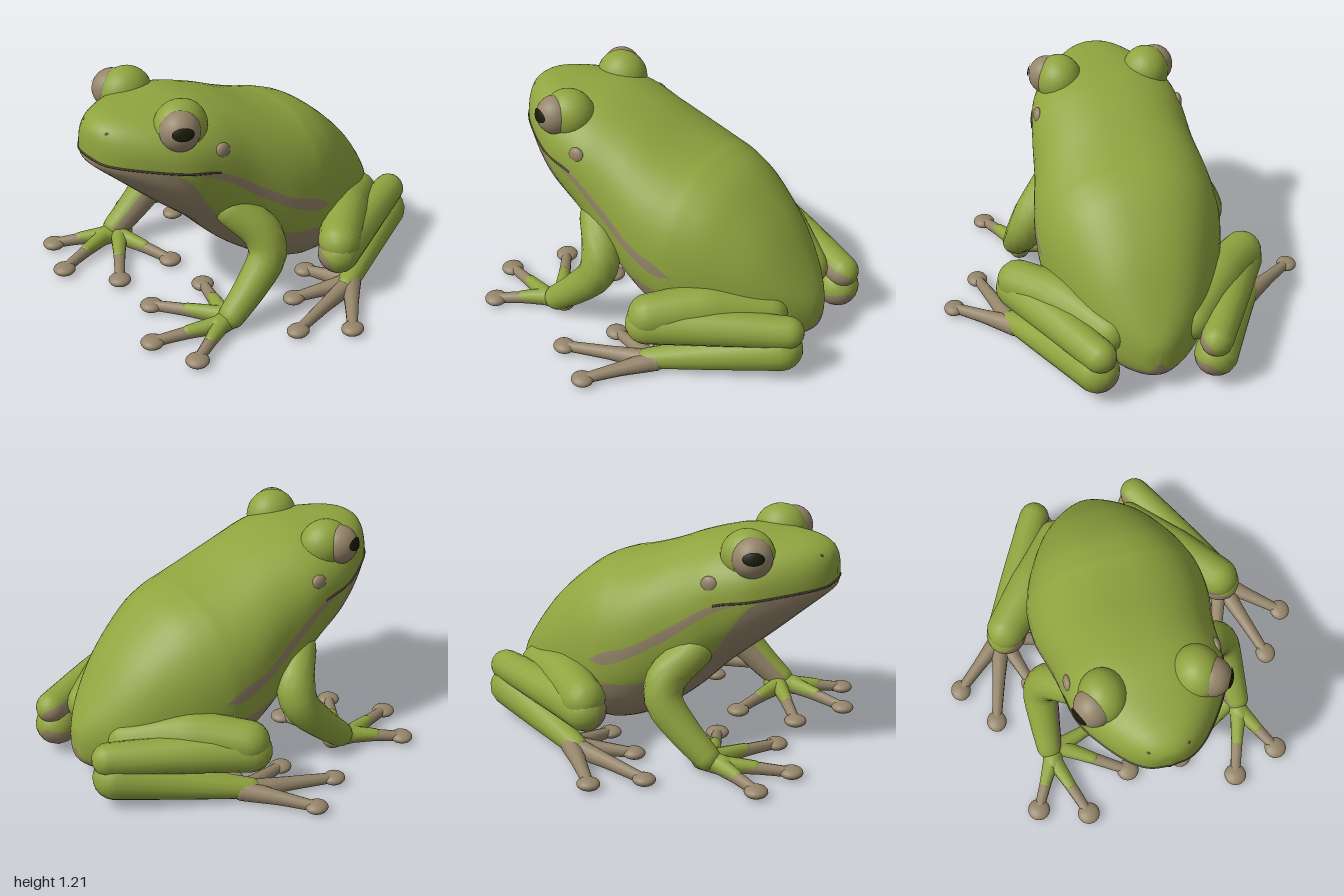
import * as THREE from 'three';
import { mergeVertices } from 'three/addons/utils/BufferGeometryUtils.js';

const material = (name, color) => {
  const m = new THREE.MeshStandardMaterial({ color });
  m.name = name;
  return m;
};
const green = material('leaf green', 0x90a43f);
const tan = material('belly tan', 0x95856a);
const black = material('pupil black', 0x1a1a08);
const brown = material('mouth brown', 0x4a4030);

// Torso stations, tail to snout: z, top y, widest y, bottom y, half width,
// stripe top y, stripe bottom y, belly edge y
const STATIONS = [
  [-0.87, 0.22, 0.2, 0.18, 0, 0.2, 0.2, 0.19],
  [-0.85, 0.31, 0.21, 0.1, 0.08, 0.2, 0.2, 0.13],
  [-0.75, 0.47, 0.25, 0.04, 0.21, 0.22, 0.22, 0.13],
  [-0.6, 0.67, 0.3, 0.02, 0.325, 0.3, 0.3, 0.16],
  [-0.4, 0.85, 0.37, 0.01, 0.425, 0.42, 0.42, 0.24],
  [-0.25, 0.92, 0.43, 0.02, 0.475, 0.47, 0.47, 0.32],
  [-0.15, 0.945, 0.47, 0.03, 0.49, 0.53, 0.46, 0.35],
  [0, 0.995, 0.54, 0.09, 0.485, 0.585, 0.525, 0.37],
  [0.2, 1.08, 0.66, 0.23, 0.445, 0.71, 0.65, 0.43],
  [0.4, 1.135, 0.82, 0.43, 0.42, 0.84, 0.8, 0.57],
  [0.6, 1.14, 0.88, 0.6, 0.375, 0.88, 0.88, 0.85],
  [0.8, 1.13, 0.91, 0.78, 0.24, 0.91, 0.91, 0.91],
  [0.9, 1.08, 0.92, 0.87, 0.12, 0.92, 0.92, 0.92],
  [0.925, 0.98, 0.93, 0.9, 0, 0.93, 0.93, 0.93],
];
const E = 0.85;
const spline = new THREE.CubicInterpolant(
  STATIONS.map((_, i) => i), STATIONS.flat(), 8, new Float32Array(8));
const station = (t) => Array.from(spline.evaluate(t));

// Angle down from the spine at which a section reaches height y
function angleAt([, top, mid, bottom], y) {
  const up = y >= mid;
  const c = THREE.MathUtils.clamp(Math.abs(y - mid) / Math.max(1e-4, up ? top - mid : mid - bottom), 0, 1);
  const a = Math.acos(Math.pow(c, 1 / E));
  return up ? a : Math.PI - a;
}
function sectionPoint([z, top, mid, bottom, w], a) {
  const c = Math.cos(a);
  const y = mid + (c > 0 ? top - mid : bottom - mid) * Math.pow(Math.abs(c), E);
  return new THREE.Vector3(Math.max(0, w) * Math.pow(Math.max(0, Math.sin(a)), E), y, z);
}

// Grid of rings joined into one surface; isTan picks the colour of each column
function loft(rings, isTan, flip) {
  const n = rings[0].length, parts = [[], []];
  for (let i = 0; i < rings.length - 1; i++) {
    for (let j = 0; j < n; j++) {
      const a = i * n + j, b = i * n + (j + 1) % n, c = a + n, d = b + n;
      parts[isTan(j) ? 1 : 0].push(...(flip ? [a, c, b, b, c, d] : [a, b, c, b, d, c]));
    }
  }
  let geo = new THREE.BufferGeometry().setFromPoints(rings.flat());
  geo.setIndex([...parts[0], ...parts[1]]);
  geo = mergeVertices(geo, 1e-4);
  geo.addGroup(0, parts[0].length, 0);
  geo.addGroup(parts[0].length, parts[1].length, 1);
  geo.computeVertexNormals();
  return geo;
}

function torsoGeometry() {
  const counts = [12, 2, 4, 10], half = 28, rings = [];
  const steps = 65;
  for (let i = 0; i <= steps; i++) {
    const s = station((i / steps) * (STATIONS.length - 1));
    const stops = [0, angleAt(s, s[5]), angleAt(s, s[6]), angleAt(s, s[7]), Math.PI];
    for (let k = 1; k < 5; k++) stops[k] = Math.max(stops[k], stops[k - 1]);
    const side = [];
    counts.forEach((count, k) => {
      for (let j = 0; j < count; j++) side.push(sectionPoint(s, THREE.MathUtils.lerp(stops[k], stops[k + 1], j / count)));
    });
    side.push(sectionPoint(s, Math.PI));
    const mirrored = side.slice(1, -1).reverse().map((p) => new THREE.Vector3(-p.x, p.y, p.z));
    rings.push([...side, ...mirrored]);
  }
  const isTan = (j) => {
    const k = j < half ? j : 2 * half - 1 - j;
    return (k >= 12 && k < 14) || k >= 18;
  };
  return loft(rings, isTan, true);
}

// Round-ended limb through [x, y, z, radius] points; the side away from ref can be tan
function limb(points, { ref = [0, 1, 0], under = -2, steps = 14, sides = 16 } = {}) {
  const curve = new THREE.CatmullRomCurve3(points.map((p) => new THREE.Vector3(p[0], p[1], p[2])));
  const up = new THREE.Vector3(...ref), samples = [], caps = 5;
  for (let k = 0; k < caps; k++) {
    const a = (k / caps) * Math.PI / 2;
    samples.push([0, -Math.cos(a), Math.sin(a)]);
  }
  for (let i = 0; i <= steps; i++) samples.push([i / steps, 0, 1]);
  for (let k = caps - 1; k >= 0; k--) {
    const a = (k / caps) * Math.PI / 2;
    samples.push([1, Math.cos(a), Math.sin(a)]);
  }
  const rings = samples.map(([u, offset, factor]) => {
    const f = u * (points.length - 1), i = Math.min(points.length - 2, Math.floor(f));
    const r = THREE.MathUtils.lerp(points[i][3], points[i + 1][3], f - i);
    const t = curve.getTangent(u);
    const centre = curve.getPoint(u).addScaledVector(t, offset * r);
    const n = up.clone().addScaledVector(t, -up.dot(t)).normalize();
    const b = t.clone().cross(n);
    return Array.from({ length: sides }, (_, j) => {
      const a = (j / sides) * Math.PI * 2;
      return centre.clone().addScaledVector(n, Math.cos(a) * r * factor).addScaledVector(b, Math.sin(a) * r * factor);
    });
  });
  return loft(rings, (j) => Math.cos(((j + 0.5) / sides) * Math.PI * 2) < under);
}

const ball = (x, y, z, rx, ry, rz) =>
  new THREE.SphereGeometry(1, 24, 16).scale(rx, ry, rz).translate(x, y, z);

// Oval pupil wrapped onto the eyeball
function pupilGeometry(centre, radius) {
  const geo = new THREE.RingGeometry(0.001, 1, 24, 4), p = geo.attributes.position, v = new THREE.Vector3();
  for (let i = 0; i < p.count; i++) {
    v.set(p.getX(i) * 0.6, p.getY(i) * 0.33, 1).normalize().multiplyScalar(radius);
    p.setXYZ(i, v.x, v.y, v.z);
  }
  geo.lookAt(new THREE.Vector3(0.86, 0.25, 0.4)).translate(...centre);
  geo.computeVertexNormals();
  return geo;
}

export function createModel() {
  const model = new THREE.Group();
  model.name = 'treeFrog';
  const add = (name, geo, mat) => {
    const mesh = new THREE.Mesh(geo, mat);
    mesh.name = name;
    model.add(mesh);
  };
  // Adds a left part and its mirror image
  const pair = (name, geo, mat) => {
    add(name + 'Left', geo, mat);
    const other = geo.clone().scale(-1, 1, 1), index = other.index;
    for (let i = 0; i < index.count; i += 3) {
      const a = index.getX(i);
      index.setX(i, index.getX(i + 1));
      index.setX(i + 1, a);
    }
    add(name + 'Right', other, mat);
  };
  const twoTone = [green, tan];

  add('torso', torsoGeometry(), twoTone);

  // Mouth line around the snout
  const lip = [];
  for (let t = 9.1; t <= 12.9; t += 0.2) {
    const s = station(t);
    lip.push(sectionPoint(s, angleAt(s, s[5])));
  }
  const mouth = [...lip, ...lip.map((p) => new THREE.Vector3(-p.x, p.y, p.z)).reverse()];
  add('mouth', new THREE.TubeGeometry(new THREE.CatmullRomCurve3(mouth), 60, 0.006, 6), brown);

  // Face
  pair('brow', ball(0.24, 1.075, 0.535, 0.125, 0.133, 0.14).rotateZ(0), green);
  pair('eye', ball(0.3, 1.083, 0.58, 0.1, 0.105, 0.104), tan);
  pair('pupil', pupilGeometry([0.3, 1.083, 0.58], 0.108), black);
  pair('eardrum', ball(0.385, 0.945, 0.39, 0.025, 0.045, 0.045), tan);
  pair('nostril', ball(0.095, 1.07, 0.86, 0.018, 0.014, 0.018), brown);

  // Front legs
  pair('arm', limb([[0.35, 0.57, 0.3, 0.095], [0.46, 0.45, 0.2, 0.105], [0.51, 0.34, 0.2, 0.1],
    [0.53, 0.2, 0.32, 0.085], [0.54, 0.085, 0.45, 0.07]], { ref: [1, 0, 0], under: -0.75 }), twoTone);
  pair('palm', limb([[0.52, 0.06, 0.42, 0.058], [0.54, 0.055, 0.54, 0.052]], { under: -0.3 }), twoTone);
  [[0.68, 0.77], [0.42, 0.86], [0.15, 0.68], [0.15, 0.35]].forEach(([x, z], i) => {
    const bx = i < 2 ? 0.54 : 0.49, bz = i < 2 ? 0.51 : 0.46;
    const mx = (bx + x) / 2, mz = (bz + z) / 2;
    pair('finger' + i, limb([[bx, 0.05, bz, 0.042], [mx, 0.045, mz, 0.033], [x, 0.03, z, 0.027]], { under: -2 + 4, sides: 10 }), twoTone);
    pair('knuckle' + i, limb([[bx, 0.06, bz, 0.052], [mx, 0.052, mz, 0.032]], { under: -0.4, steps: 6, sides: 10 }), twoTone);
    pair('fingerPad' + i, ball(x, 0.03, z, 0.06, 0.03, 0.06), tan);
  });

  // Hind legs: folded thigh and shin, with the long foot lying under them
  pair('thigh', limb([[0.22, 0.28, -0.68, 0.1], [0.41, 0.32, -0.42, 0.125], [0.61, 0.31, -0.2, 0.11]],
    { ref: [0.6, 0.8, 0], under: -0.5 }), twoTone);
  pair('shin', limb([[0.62, 0.255, -0.19, 0.11], [0.48, 0.265, -0.48, 0.1], [0.3, 0.265, -0.84, 0.085]],
    { ref: [0.8, 0.5, 0], under: -0.5 }), twoTone);
  pair('foot', limb([[0.31, 0.15, -0.81, 0.115], [0.49, 0.1, -0.5, 0.085], [0.66, 0.06, -0.22, 0.055]],
    { ref: [0.35, 0.9, 0], under: -0.3 }), twoTone);
  [[0.945, -0.01], [0.79, 0.22], [0.55, 0.05], [0.38, -0.17]].forEach(([x, z], i) => {
    pair('toe' + i, limb([[0.65, 0.055, -0.26, 0.055], [(0.65 + x) / 2, 0.045, (z - 0.26) / 2, 0.037], [x, 0.03, z, 0.027]],
      { under: 2, sides: 10 }).clone(), tan);
    pair('toePad' + i, ball(x, 0.03, z, 0.055, 0.03, 0.06), tan);
  });
  return model;
}
